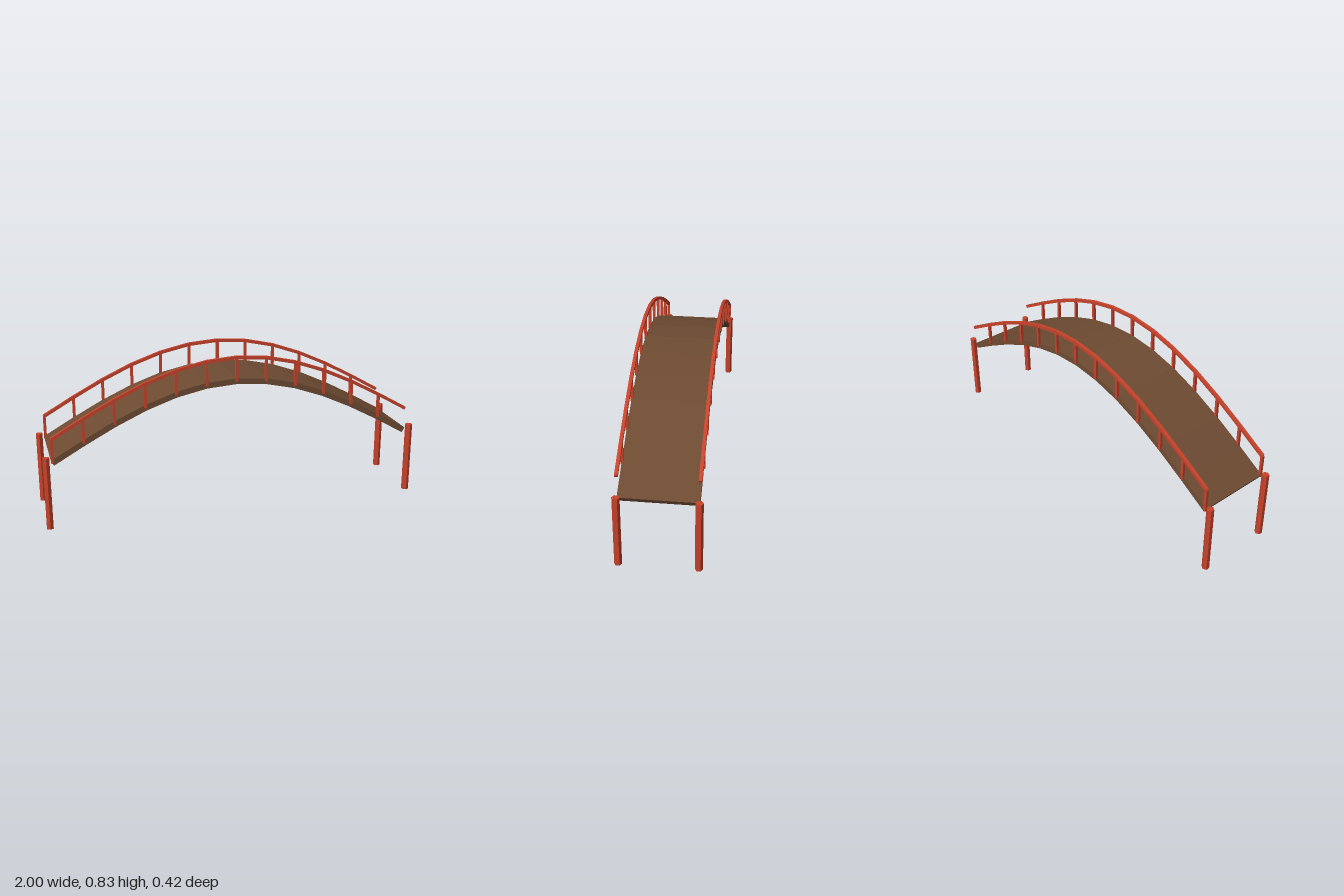
import * as THREE from 'three';

const SEGMENTS = 12, HALF_SPAN = 0.951, SIDE = 0.1915;
const BASE = 0.35, RISE = 0.35, RAIL_LIFT = 0.126;

// Point on the arch at step i (0..SEGMENTS)
function archPoint(i, lift = 0) {
  const t = i / SEGMENTS;
  return new THREE.Vector2((t * 2 - 1) * HALF_SPAN, BASE + RISE * Math.sin(Math.PI * t) + lift);
}

export function createModel() {
  const red = new THREE.MeshStandardMaterial({ name: 'redPaint', color: 0xc8432b, flatShading: true });
  const wood = new THREE.MeshStandardMaterial({ name: 'brownWood', color: 0x6e4b32, flatShading: true });
  const model = new THREE.Group();
  model.name = 'archedBridge';

  function add(parent, name, geometry, material, x, y, z, tilt = 0) {
    const mesh = new THREE.Mesh(geometry, material);
    mesh.name = name;
    mesh.position.set(x, y, z);
    mesh.rotation.z = tilt;
    parent.add(mesh);
  }

  // A box laid along one straight step of the arch
  function addStep(parent, name, material, i, lift, thickness, width, z) {
    const a = archPoint(i, lift), b = archPoint(i + 1, lift);
    const d = b.clone().sub(a);
    const box = new THREE.BoxGeometry(d.length() + 0.002, thickness, width);
    add(parent, name, box, material, (a.x + b.x) / 2, (a.y + b.y) / 2, z, d.angle());
  }

  // Deck
  const deck = new THREE.Group();
  deck.name = 'deck';
  for (let i = 0; i < SEGMENTS; i++) addStep(deck, 'deckPanel', wood, i, 0, 0.03, SIDE * 2, 0);
  model.add(deck);

  for (const side of [-1, 1]) {
    const z = side * SIDE;
    const railing = new THREE.Group();
    railing.name = side > 0 ? 'frontRailing' : 'backRailing';

    // Handrail and balusters; the +x end has no baluster
    for (let i = 0; i < SEGMENTS; i++) {
      addStep(railing, 'handrail', red, i, RAIL_LIFT, 0.0165, 0.0165, z);
      const p = archPoint(i);
      add(railing, 'baluster', new THREE.BoxGeometry(0.014, RAIL_LIFT, 0.014), red, p.x, p.y + RAIL_LIFT / 2, z);
    }
    model.add(railing);

    // Six-sided corner posts
    for (const end of [-1, 1]) {
      add(model, 'cornerPost', new THREE.CylinderGeometry(0.019, 0.019, 0.381, 6), red, end * 0.9835, 0.1905, z);
    }
  }
  return model;
}
